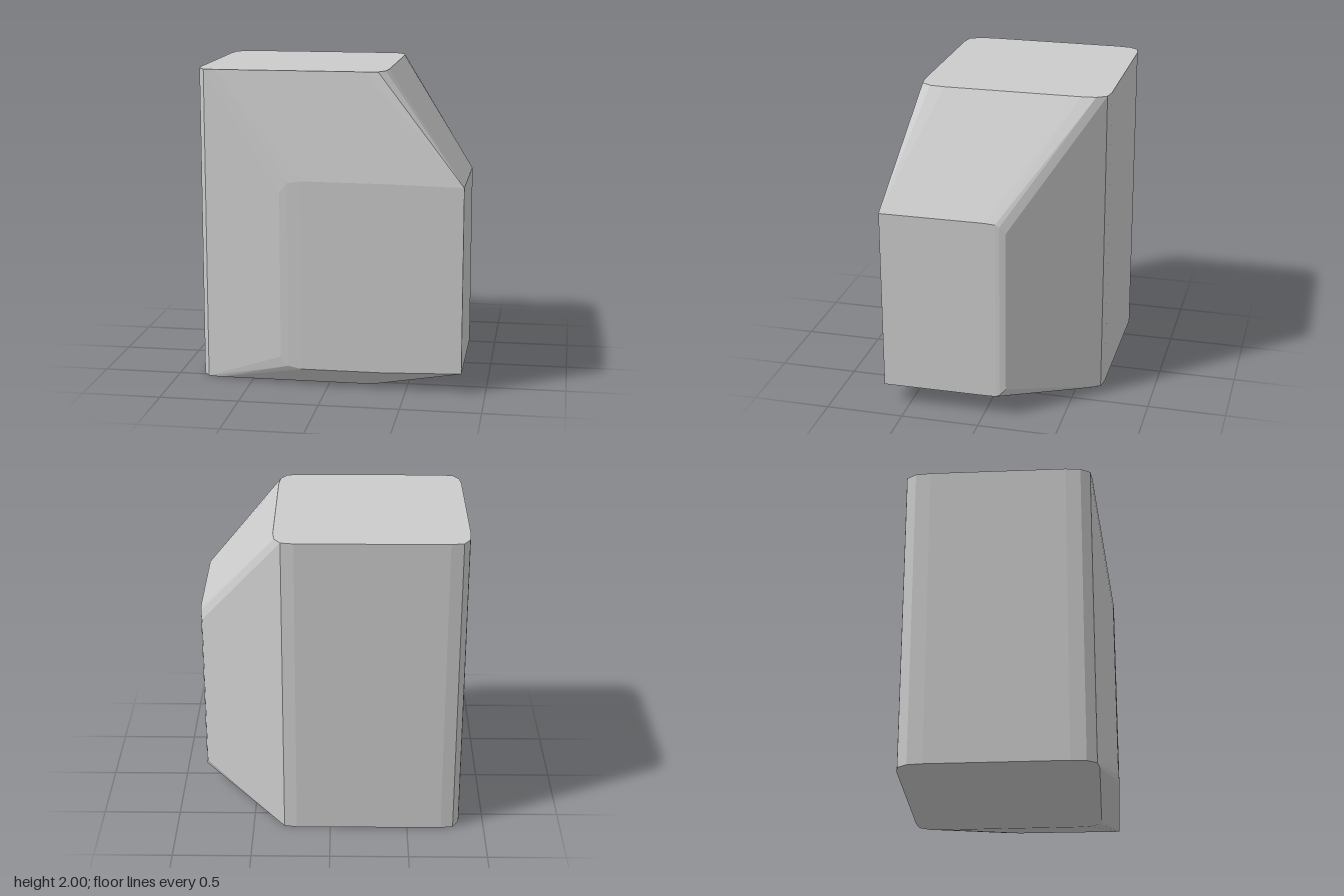
import * as THREE from 'three';
import { ConvexGeometry } from 'three/addons/geometries/ConvexGeometry.js';

export function createModel() {
  const group = new THREE.Group();
  const points = [];
  const add = (x, y, z) => points.push(new THREE.Vector3(x, y, z));

  // Full-height column with softened corners (inset from each corner in x, z)
  const corner = [[0, 0.17], [0.01, 0.075], [0.05, 0.013], [0.13, 0]];
  const cx = -0.25, cz = -0.061, hx = 0.6, hz = 0.604;
  for (const y of [0, 2])
    for (const sx of [-1, 1])
      for (const sz of [-1, 1])
        for (const [dx, dz] of corner) add(cx + sx * (hx - dx), y, cz + sz * (hz - dz));

  // Bulge on the front and left sides: front face, sharp shared edge, side face
  const bulge = [
    [-0.3, 0.19, 1.25, 0.655], [-0.25, 0.132, 1.315, 0.659], [-0.16, 0.116, 1.328, 0.661],
    [0.35, 0.116, 1.326, 0.661], [0.85, 0.132, 1.315, 0.661],
    [0.85, 0.135, 1.315, -0.01], [0.85, 0.137, 1.31, -0.08],
    [0.848, 0.15, 1.295, -0.105], [0.838, 0.19, 1.25, -0.142],
  ];
  for (const [x, low, high, z] of bulge) {
    add(x, low, z);
    add(x, high, z);
  }

  // The solid is the convex skin around both
  const body = new THREE.Mesh(
    new ConvexGeometry(points),
    new THREE.MeshStandardMaterial({ color: 0xcccccc, flatShading: true })
  );
  body.name = 'facetedBlock';
  group.add(body);
  return group;
}
